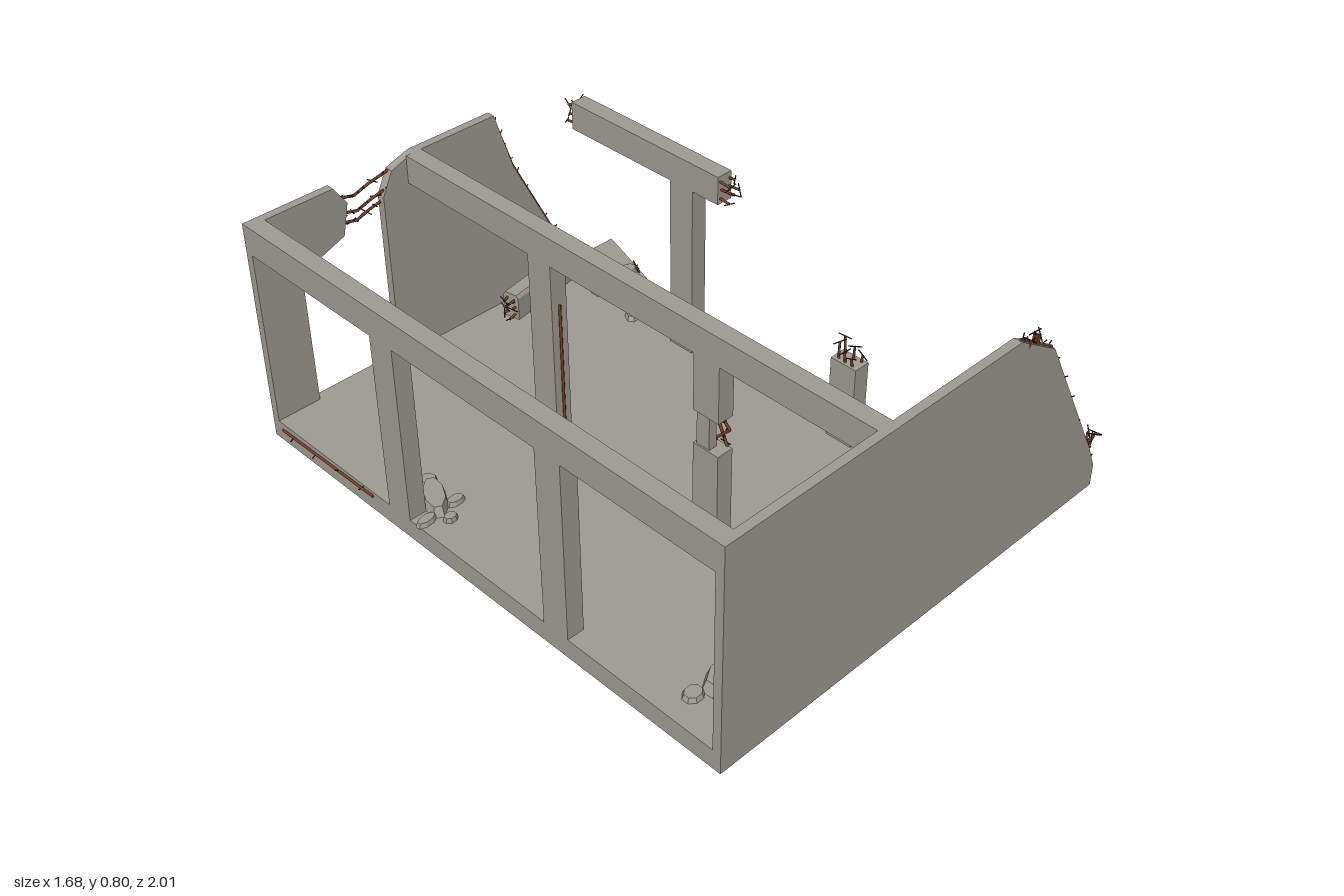
import * as THREE from 'three';
import { mergeGeometries } from 'three/addons/utils/BufferGeometryUtils.js';

export function createModel() {
  const model = new THREE.Group();
  model.name = 'ruinedBuilding';
  const material = (name, color) => {
    const m = new THREE.MeshStandardMaterial({ color });
    m.name = name;
    return m;
  };
  const concrete = material('concrete', 0xa09c92);
  const rust = material('rustedSteel', 0x7c3f2a);
  const steel = material('darkSteel', 0x33251f);

  let seed = 7;
  const rnd = (a, b) => {
    seed = (seed * 16807) % 2147483647;
    return a + (b - a) * (seed / 2147483647);
  };
  const V = (x, y, z) => new THREE.Vector3(x, y, z);
  const add = (name, geometry, mat = concrete) => {
    const mesh = new THREE.Mesh(geometry, mat);
    mesh.name = name;
    model.add(mesh);
    return mesh;
  };
  // Box given by its minimum and maximum corners
  const block = (name, x0, x1, y0, y1, z0, z1) =>
    add(name, new THREE.BoxGeometry(x1 - x0, y1 - y0, z1 - z0))
      .position.set((x0 + x1) / 2, (y0 + y1) / 2, (z0 + z1) / 2);
  // Upright wall outline in x and y, extruded along z
  const wall = (name, outline, z, depth) => {
    const shape = new THREE.Shape(outline.map(([x, y]) => new THREE.Vector2(x, y)));
    add(name, new THREE.ExtrudeGeometry(shape, { depth, bevelEnabled: false })).position.z = z;
  };
  // One straight bar between two points
  const bar = (a, b, r) => {
    const d = b.clone().sub(a);
    const g = new THREE.CylinderGeometry(r, r, d.length(), 5);
    g.applyQuaternion(new THREE.Quaternion().setFromUnitVectors(V(0, 1, 0), d.normalize()));
    return g.translate((a.x + b.x) / 2, (a.y + b.y) / 2, (a.z + b.z) / 2);
  };
  // Bent reinforcing rod with small wire ties along it
  const rod = (name, coords, ties = 2, r = 0.005) => {
    const pts = coords.map(p => V(...p));
    const bars = [], wires = [];
    for (let i = 0; i + 1 < pts.length; i++) {
      bars.push(bar(pts[i], pts[i + 1], r));
      for (let k = 0; k < ties; k++) {
        const c = pts[i].clone().lerp(pts[i + 1], (k + 0.5) / ties);
        const d = V(rnd(-1, 1), rnd(-1, 1), rnd(-1, 1)).normalize().multiplyScalar(0.018);
        wires.push(bar(c.clone().sub(d), c.clone().add(d), 0.002));
      }
    }
    add(name, mergeGeometries(bars), rust);
    if (wires.length) add(name + 'Ties', mergeGeometries(wires), steel);
  };
  // Frayed rods sticking out of a broken end
  const tuft = (name, at, dir, w = 0.025, h = 0.04, len = 0.05) => {
    const d = V(...dir).normalize();
    const side = Math.abs(d.y) > 0.7 ? V(1, 0, 0) : V(-d.z, 0, d.x).normalize();
    const up = d.clone().cross(side).normalize();
    const bars = [], wires = [];
    for (const sx of [-1, 1]) for (const sy of [-1, 0, 1]) {
      const a = V(...at).addScaledVector(side, sx * w * 0.7).addScaledVector(up, sy * h * 0.75);
      const b = a.clone().addScaledVector(d, len * rnd(0.5, 0.9)).add(V(rnd(-0.01, 0.01), rnd(-0.01, 0.01), rnd(-0.01, 0.01)));
      bars.push(bar(a.addScaledVector(d, -0.02), b, 0.0045));
      const t = V(rnd(-1, 1), rnd(-1, 1), rnd(-1, 1)).normalize().multiplyScalar(0.022);
      wires.push(bar(b.clone().sub(t), b.clone().add(t), 0.002));
    }
    add(name, mergeGeometries(bars), rust);
    add(name + 'Wires', mergeGeometries(wires), steel);
  };

  // Floor slab: rows of z, broken lower x, broken upper x
  const rows = [[-1, 0.66, 0.66], [-0.9, 0.64, 0.63], [-0.5, 0.54, 0.5], [-0.13, 0.44, 0.4], [0.25, 0.495, 0.46], [0.96, 0.815, 0.805]];
  const L = -0.82, T = 0.07, pos = [];
  const quad = (a, b, c, d) => pos.push(...a, ...b, ...c, ...a, ...c, ...d);
  for (let i = 0; i + 1 < rows.length; i++) {
    const [z0, b0, t0] = rows[i], [z1, b1, t1] = rows[i + 1];
    quad([L, T, z1], [t1, T, z1], [t0, T, z0], [L, T, z0]);
    quad([L, 0, z0], [b0, 0, z0], [b1, 0, z1], [L, 0, z1]);
    quad([b1, 0, z1], [b0, 0, z0], [t0, T, z0], [t1, T, z1]);
    quad([L, 0, z0], [L, 0, z1], [L, T, z1], [L, T, z0]);
  }
  quad([0.66, 0, -1], [L, 0, -1], [L, T, -1], [0.66, T, -1]);
  quad([L, 0, 0.96], [0.815, 0, 0.96], [0.805, T, 0.96], [L, T, 0.96]);
  const floor = new THREE.BufferGeometry();
  floor.setAttribute('position', new THREE.Float32BufferAttribute(pos, 3));
  floor.computeVertexNormals();
  add('floorSlab', floor);

  // Walls with broken outlines
  wall('frontWall', [[-0.82, 0], [0.83, 0], [0.83, 0.08], [0.79, 0.17], [0.51, 0.69], [0.34, 0.8], [-0.82, 0.8]], 0.96, 0.03);
  wall('backWallCorner', [[-0.82, T], [-0.66, T], [-0.66, 0.59], [-0.62, 0.57], [-0.49, 0.62], [-0.465, 0.73], [-0.51, 0.8], [-0.82, 0.8]], -1, 0.03);
  wall('backWall', [[-0.33, T], [0.49, T], [0.35, 0.28], [0.2, 0.58], [0.13, 0.8], [-0.2, 0.8], [-0.29, 0.77], [-0.33, 0.69]], -1, 0.03);

  // Roof beams
  for (const x of [-0.82, -0.23]) block('roofBeam', x, x + 0.06, 0.7, 0.8, -0.97, 0.96);
  block('brokenRoofBeam', 0.37, 0.43, 0.7, 0.8, -0.86, -0.19);
  tuft('beamRodsFront', [0.4, 0.75, -0.19], [0, 0, 1]);
  tuft('beamRodsBack', [0.4, 0.75, -0.86], [0, 0, -1]);

  // Columns
  const column = (x, z, y0 = T, y1 = 0.7) => block('column', x - 0.03, x + 0.03, y0, y1, z - 0.05, z + 0.05);
  column(-0.79, 0.35);
  column(-0.79, -0.35);
  column(-0.2, -0.35);
  column(0.4, -0.35);
  column(0.4, 0.35, T, 0.37);
  column(-0.2, 0.35, T, 0.38);
  column(-0.2, 0.35, 0.5, 0.7);
  block('crackedColumnCore', -0.225, -0.195, 0.38, 0.5, 0.31, 0.36);
  tuft('columnStubRods', [0.4, 0.37, 0.35], [0, 1, 0], 0.025, 0.04, 0.06);
  rod('crackedColumnRod', [[-0.175, 0.37, 0.32], [-0.16, 0.43, 0.38], [-0.175, 0.52, 0.31]]);
  rod('crackedColumnRod', [[-0.175, 0.37, 0.39], [-0.15, 0.44, 0.32], [-0.175, 0.51, 0.37]]);
  for (const z of [-0.375, -0.35, -0.325]) rod('exposedColumnRod', [[-0.757, 0.2, z], [-0.757, 0.58, z]], 4);
  rod('exposedColumnRod', [[-0.2, 0.08, -0.297], [-0.2, 0.55, -0.297]], 0);

  // Rods along broken edges
  rod('floorEdgeRod', [[0.79, 0.035, 0.92], [0.483, 0.035, 0.25], [0.425, 0.035, -0.13], [0.455, 0.035, -0.25], [0.475, 0.07, -0.37], [0.527, 0.035, -0.5], [0.64, 0.035, -0.9]], 3);
  rod('sideEdgeRod', [[-0.822, 0.045, -0.95], [-0.822, 0.055, -0.48]], 4);
  rod('frontWallRod', [[0.35, 0.797, 0.975], [0.51, 0.692, 0.975], [0.79, 0.172, 0.975], [0.83, 0.09, 0.975]], 5);
  tuft('frontWallRods', [0.4, 0.755, 0.975], [0.1, 1, 0], 0.04, 0.01, 0.04);
  tuft('frontWallFootRods', [0.79, 0.17, 0.975], [0.6, 1, 0], 0.02, 0.01, 0.04);
  rod('backWallRod', [[0.135, 0.79, -0.985], [0.205, 0.58, -0.985], [0.355, 0.28, -0.985], [0.49, 0.075, -0.985]], 4);
  for (const [y, z] of [[0.75, -0.99], [0.7, -0.98], [0.66, -0.99]])
    rod('openingRod', [[-0.5, y, z], [-0.43, y - 0.015, z + 0.006], [-0.37, y - 0.005, z - 0.004], [-0.29, y + 0.015, z]], 2);

  // Fallen beam pieces: chamfered bars lying between two points
  const chunk = (name, a, b, w, h) => {
    const s = new THREE.Shape([[-w, -h], [w, -h], [w, h * 0.75], [w * 0.75, h], [-w * 0.75, h], [-w, h * 0.75]].map(p => new THREE.Vector2(...p)));
    const from = V(...a), to = V(...b), dir = to.clone().sub(from);
    const mesh = add(name, new THREE.ExtrudeGeometry(s, { depth: dir.length(), bevelEnabled: false }));
    mesh.position.copy(from);
    mesh.lookAt(to);
    tuft(name + 'Rods', b, dir.toArray(), w * 0.8, h * 0.8, 0.035);
    tuft(name + 'Rods', a, dir.negate().toArray(), w * 0.8, h * 0.8, 0.035);
  };
  chunk('fallenBeamBack', [0.08, 0.12, -0.88], [0.38, 0.12, -0.935], 0.032, 0.048);
  chunk('fallenBeamFront', [0.44, 0.12, 0.62], [0.535, 0.12, 0.89], 0.032, 0.048);
  chunk('leaningBeam', [0.15, 0.11, 0.75], [0.44, 0.21, 0.73], 0.032, 0.04);

  // Flat rubble: x, z, half length, half width, turn
  const rubble = [
    [0.44, -0.7, 0.06, 0.11, -0.2], [0.49, -0.83, 0.04, 0.05, 0.5], [0.55, -0.8, 0.045, 0.03, 0.2], [0.39, -0.6, 0.05, 0.03, 0.6], [0.4, -0.78, 0.03, 0.04, 0],
    [-0.71, -0.32, 0.04, 0.09, -0.5], [-0.67, -0.4, 0.03, 0.03, 0.3], [-0.67, -0.27, 0.035, 0.02, 0], [-0.79, -0.26, 0.04, 0.02, 0.1], [-0.73, -0.22, 0.025, 0.02, 0],
    [-0.6, 0.81, 0.1, 0.055, 0.05], [-0.5, 0.74, 0.035, 0.05, 0.4], [-0.46, 0.8, 0.05, 0.025, 0.5], [-0.48, 0.87, 0.03, 0.05, 0.6], [-0.72, 0.79, 0.035, 0.03, 0],
  ];
  rubble.forEach(([x, z, a, b, turn], i) => {
    const h = i % 5 ? 0.016 : 0.032;
    const g = new THREE.CylinderGeometry(0.82, 1, h, 8).toNonIndexed();
    g.rotateY(Math.PI / 8).scale(a, 1, b).computeVertexNormals();
    const m = add('rubble', g);
    m.position.set(x, T + h / 2, z);
    m.rotation.y = turn;
  });
  rod('rubbleRod', [[0.57, 0.08, -0.76], [0.6, 0.085, -0.82]], 1, 0.003);
  rod('rubbleRod', [[-0.64, 0.08, 0.88], [-0.63, 0.085, 0.92]], 1, 0.003);

  return model;
}
